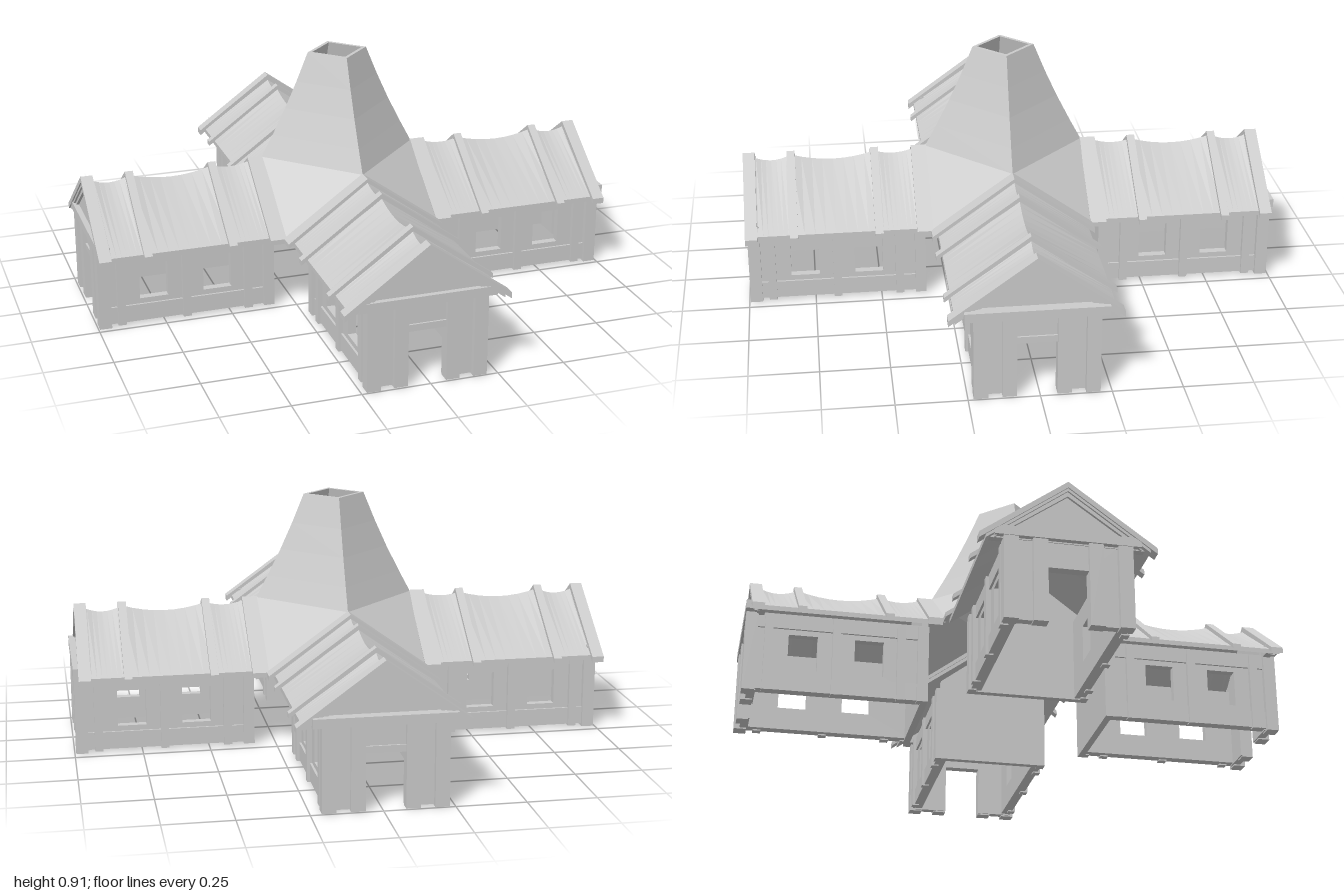
import * as THREE from 'three';

const mat = new THREE.MeshStandardMaterial({ color: 0xcccccc, flatShading: true });
const thinMat = new THREE.MeshStandardMaterial({ color: 0xcccccc, flatShading: true, side: THREE.DoubleSide });

function add(parent, name, geometry, material = mat) {
  const mesh = new THREE.Mesh(geometry, material);
  mesh.name = name;
  parent.add(mesh);
  return mesh;
}

// Box given by its extents on each axis
function box(parent, name, x0, x1, y0, y1, z0, z1) {
  const mesh = add(parent, name, new THREE.BoxGeometry(x1 - x0, y1 - y0, z1 - z0));
  mesh.position.set((x0 + x1) / 2, (y0 + y1) / 2, (z0 + z1) / 2);
  return mesh;
}

function polygon(points) {
  return new THREE.Shape(points.map(([x, y]) => new THREE.Vector2(x, y)));
}

// Outline extruded between two z positions
function plate(parent, name, shape, z0, z1) {
  const geometry = new THREE.ExtrudeGeometry(shape, { depth: z1 - z0, bevelEnabled: false });
  add(parent, name, geometry).position.z = z0;
}

// Roof cross-section: a bent strip with ridge, eave and thickness
const chevron = (half, ridge, eave, t) => [
  [-half, eave], [0, ridge], [half, eave], [half, eave - t], [0, ridge - t], [-half, eave - t],
];

// Bent roof slab whose ridge sags between the straps
function saggingRoof() {
  const spans = [[0.3, 0.355, 0], [0.355, 0.495, 0.012], [0.495, 0.81, 0.025], [0.81, 0.96, 0.02], [0.96, 0.985, 0]];
  const rings = [];
  for (const [z0, z1, sag] of spans) {
    for (let i = 0; i <= 8; i++) {
      const t = i / 8;
      if (i === 0 && rings.length) continue;
      const ridge = 0.505 - sag * 4 * t * (1 - t);
      rings.push(chevron(0.28, ridge, 0.302, 0.018).map(([x, y]) => [x, y, z0 + (z1 - z0) * t]));
    }
  }
  const pos = [];
  const quad = (a, b, c, d) => pos.push(...a, ...b, ...c, ...a, ...c, ...d);
  for (let r = 0; r < rings.length - 1; r++) {
    const p = rings[r], q = rings[r + 1];
    for (let i = 0; i < 6; i++) {
      const j = (i + 1) % 6;
      quad(q[i], q[j], p[j], p[i]);
    }
  }
  const a = rings[0], b = rings[rings.length - 1];
  quad(a[0], a[1], a[4], a[5]);
  quad(a[1], a[2], a[3], a[4]);
  quad(b[5], b[4], b[1], b[0]);
  quad(b[4], b[3], b[2], b[1]);
  const geometry = new THREE.BufferGeometry();
  geometry.setAttribute('position', new THREE.Float32BufferAttribute(pos, 3));
  geometry.computeVertexNormals();
  return geometry;
}

// Long wall with two windows and its timber framing
function sideWall(side) {
  const wall = new THREE.Group();
  wall.name = side > 0 ? 'leftWall' : 'rightWall';
  const shape = polygon([[0.325, 0.01], [0.975, 0.01], [0.975, 0.31], [0.325, 0.31]]);
  for (const c of [0.535, 0.775]) {
    shape.holes.push(polygon([[c - 0.053, 0.095], [c - 0.053, 0.23], [c + 0.053, 0.23], [c + 0.053, 0.095]]));
  }
  const geometry = new THREE.ExtrudeGeometry(shape, { depth: 0.03, bevelEnabled: false });
  geometry.rotateY(-Math.PI / 2);
  add(wall, 'windowWall', geometry).position.x = side > 0 ? 0.2 : -0.17;

  const strip = (name, y0, y1, z0, z1, out) => {
    const xs = [side * 0.19, side * out].sort((a, b) => a - b);
    box(wall, name, xs[0], xs[1], y0, y1, z0, z1);
  };
  for (const [z0, z1] of [[0.32, 0.36], [0.405, 0.435], [0.64, 0.67], [0.885, 0.915]]) {
    strip('wallPost', 0.005, 0.3, z0, z1, 0.218);
  }
  strip('sillRail', 0.01, 0.075, 0.33, 0.97, 0.208);
  strip('topRail', 0.25, 0.305, 0.33, 0.97, 0.208);
  return wall;
}

// Walls of one wing, running outward along +z
function wingWalls() {
  const walls = new THREE.Group();
  walls.name = 'wingWalls';
  walls.add(sideWall(1), sideWall(-1));

  // Inner end wall
  plate(walls, 'innerEndWall', polygon([[-0.2, 0.005], [0.2, 0.005], [0.2, 0.33], [0, 0.48], [-0.2, 0.33]]), 0.32, 0.345);

  // Outer end wall with doorway
  plate(walls, 'doorWall', polygon([[-0.2, 0.005], [-0.07, 0.005], [-0.07, 0.2], [0.07, 0.2],
    [0.07, 0.005], [0.2, 0.005], [0.2, 0.33], [-0.2, 0.33]]), 0.935, 0.965);

  // Corner posts and door jambs
  for (const s of [-1, 1]) {
    const post = (name, a, b, y0, z0, z1) => box(walls, name, Math.min(s * a, s * b), Math.max(s * a, s * b), y0, 0.32, z0, z1);
    post('cornerPost', 0.17, 0.22, 0, 0.94, 0.985);
    post('doorJamb', 0.07, 0.12, 0, 0.94, 0.982);
  }
  box(walls, 'doorLintel', -0.07, 0.07, 0.2, 0.225, 0.94, 0.972);
  box(walls, 'gableBeam', -0.25, 0.25, 0.3, 0.333, 0.94, 0.988);
  return walls;
}

// Roof of one wing
function wingRoof() {
  const roof = new THREE.Group();
  roof.name = 'wingRoof';
  add(roof, 'roofSlab', saggingRoof());
  for (const [z0, z1] of [[0.295, 0.355], [0.48, 0.51], [0.795, 0.825]]) {
    plate(roof, 'roofStrap', polygon(chevron(0.303, 0.52, 0.301, 0.018)), z0, z1);
  }
  plate(roof, 'bargeBoard', polygon(chevron(0.303, 0.52, 0.301, 0.022)), 0.945, 0.99);
  plate(roof, 'gable', polygon([[-0.27, 0.295], [0.27, 0.295], [0, 0.495]]), 0.94, 0.968);
  plate(roof, 'gableTrim', polygon(chevron(0.25, 0.495, 0.318, 0.025)), 0.96, 0.978);
  return roof;
}

export function createModel() {
  const model = new THREE.Group();
  model.name = 'crossHouse';
  const names = ['frontWing', 'leftWing', 'backWing', 'rightWing'];
  names.forEach((name, k) => {
    const wing = new THREE.Group();
    wing.name = name;
    const walls = wingWalls();
    walls.position.z = k === 1 || k === 2 ? 0.02 : 0;
    wing.add(walls, wingRoof());
    wing.rotation.y = k * Math.PI / 2;
    model.add(wing);
  });

  // Hollow four-sided flared tower with open top
  const outer = [[0.3, 0.515], [0.255, 0.6], [0.205, 0.7], [0.16, 0.8], [0.115, 0.91]];
  const inner = outer.map(([r, y]) => [r - 0.018, y]).reverse();
  const profile = [...outer, ...inner].map(([r, y]) => new THREE.Vector2(r, y));
  add(model, 'tower', new THREE.LatheGeometry(profile, 4), thinMat);

  // Sloping triangles filling the corners between the wings
  const skirt = new THREE.BufferGeometry();
  skirt.setAttribute('position', new THREE.Float32BufferAttribute(
    [0, 0.517, 0.302, 0.302, 0.292, 0.302, 0.302, 0.517, 0], 3));
  skirt.computeVertexNormals();
  for (let k = 0; k < 4; k++) {
    add(model, 'cornerRoof', skirt, thinMat).rotation.y = k * Math.PI / 2;
  }

  model.position.set(-0.01, 0, 0.01);
  const group = new THREE.Group();
  group.name = 'building';
  group.add(model);
  return group;
}
